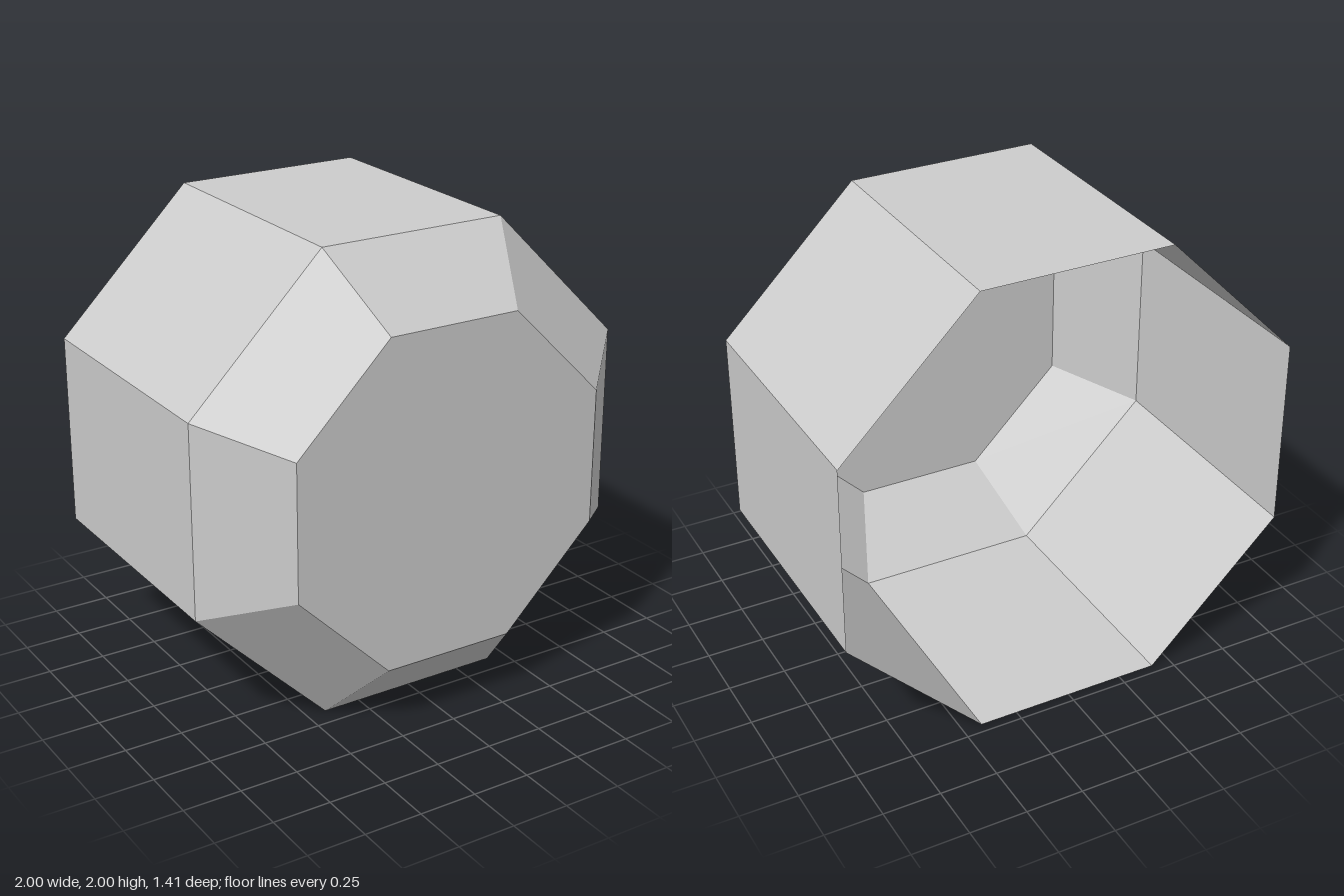
import * as THREE from 'three';

const SIDES = 8;
const HALF_STEP = Math.PI / SIDES;
const toCorner = (flat) => flat / Math.cos(HALF_STEP); // flat-side distance to corner radius

export function createModel() {
  const group = new THREE.Group();
  group.name = 'octagonalShell';

  const grey = new THREE.MeshStandardMaterial({ color: 0xcccccc, flatShading: true, side: THREE.DoubleSide });
  grey.name = 'light grey';

  const outer = toCorner(1);
  const inner = toCorner(Math.SQRT1_2);
  const back = -Math.SQRT1_2;
  const shoulder = Math.SQRT2 - 1;
  const front = Math.SQRT1_2;

  const add = (name, geometry, z) => {
    const mesh = new THREE.Mesh(geometry, grey);
    mesh.name = name;
    mesh.position.set(0, 1, z);
    group.add(mesh);
  };

  // Open eight-sided ring running along z
  const ring = (name, frontRadius, backRadius, z0, z1) => {
    const g = new THREE.CylinderGeometry(frontRadius, backRadius, z1 - z0, SIDES, 1, true, HALF_STEP)
      .rotateX(Math.PI / 2).toNonIndexed();
    g.computeVertexNormals();
    add(name, g, (z0 + z1) / 2);
  };

  // Straight walls, left open at the back
  ring('sideWalls', outer, outer, back, shoulder);
  // Sloping faces between walls and front
  ring('frontBevel', inner, outer, shoulder, front);
  // Flat front
  add('frontPanel', new THREE.CircleGeometry(inner, SIDES, HALF_STEP), front);

  return group;
}
